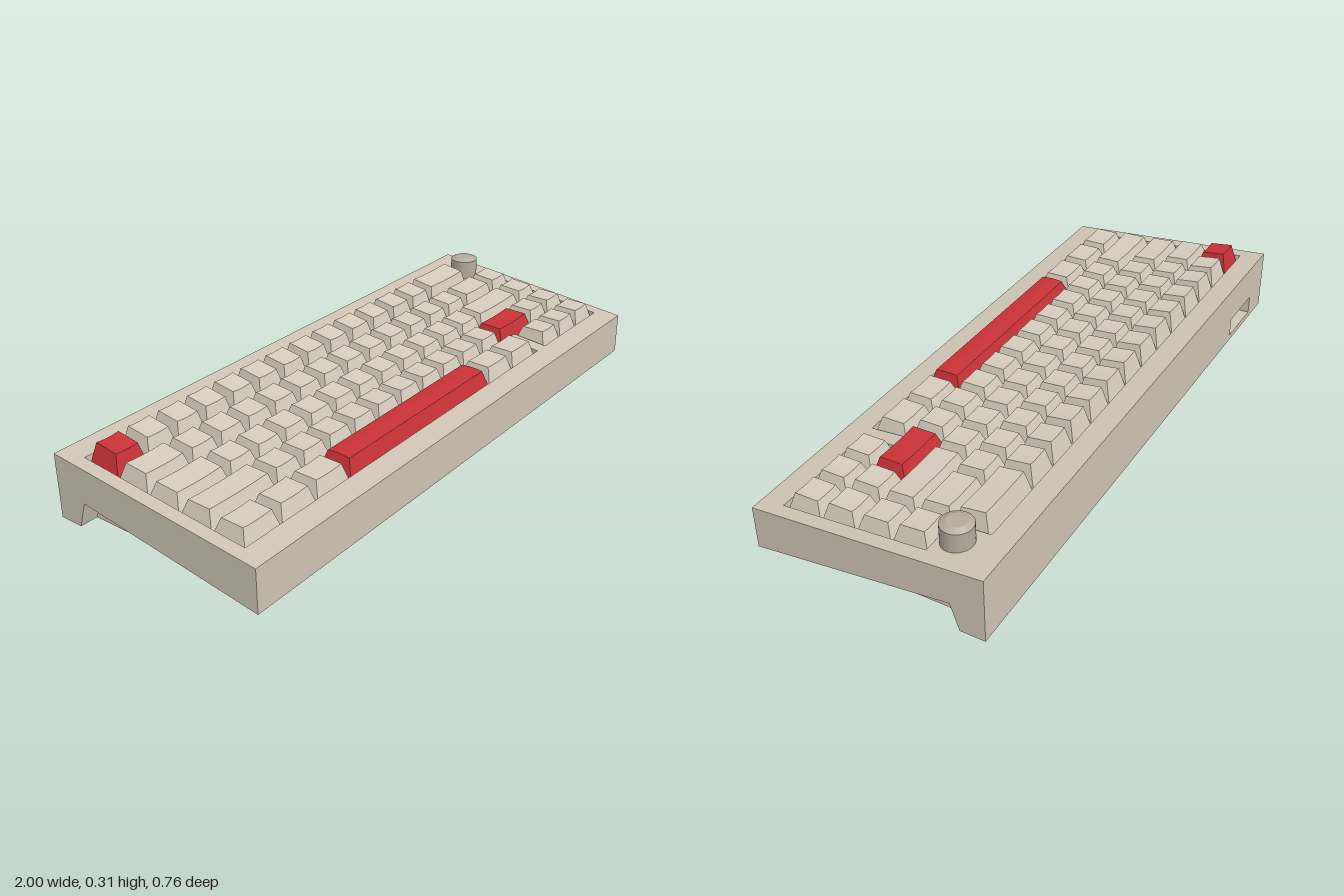
import * as THREE from 'three';

const U = 0.1186;          // width of one key unit
const X0 = -0.949;         // left end of the key rows
const RIM = 0.06;          // thickness of the top frame
const HALF = 0.38;         // half depth of the case
const END = 0.06;          // thickness of the case ends

// height of the sloping top at depth z
const topY = z => 0.218 - 0.092 * z;

export function createModel() {
  const mat = (name, color) => {
    const m = new THREE.MeshStandardMaterial({ color });
    m.name = name;
    return m;
  };
  const caseMat = mat('case beige', 0xcfc4b5);
  const keyMat = mat('key beige', 0xd6cbbd);
  const redMat = mat('accent red', 0xc83236);
  const metalMat = mat('knob and foot grey', 0xb5aa9d);
  const plateMat = mat('underside plate', 0xa89f93);

  const model = new THREE.Group();
  model.name = 'keyboard';
  const add = (geo, material, name, parent = model) => {
    const mesh = new THREE.Mesh(geo, material);
    mesh.name = name;
    parent.add(mesh);
    return mesh;
  };
  const path = (pts, Type = THREE.Shape) => new Type(pts.map(p => new THREE.Vector2(...p)));
  const extrude = (shape, depth) => new THREE.ExtrudeGeometry(shape, { depth, bevelEnabled: false });

  // Top frame: flat plate with the key opening, sheared to the slope
  const frame = path([[-1, -HALF], [1, -HALF], [1, HALF], [-1, HALF]]);
  const notchL = X0 + 12.5 * U + 0.004, notchR = X0 + 13 * U - 0.004;
  frame.holes.push(path([
    [-0.955, -0.303], [-0.955, 0.303], [0.832, 0.303], [0.832, 0.177], [0.955, 0.177],
    [0.955, -0.303], [notchR, -0.303], [notchR, -0.178], [notchL, -0.178], [notchL, -0.303],
  ], THREE.Path));
  const frameGeo = extrude(frame, RIM).rotateX(-Math.PI / 2);
  const fp = frameGeo.attributes.position;
  for (let i = 0; i < fp.count; i++) fp.setY(i, fp.getY(i) + topY(fp.getZ(i)) - RIM);
  frameGeo.computeVertexNormals();
  add(frameGeo, caseMat, 'topFrame');

  // Lower case: side profiles given as [z, y], extruded along x
  const slab = (pts, x, width, name) => {
    const geo = extrude(path(pts.map(([z, y]) => [-z, y])), width);
    geo.rotateY(Math.PI / 2).translate(x, 0, 0);
    add(geo, caseMat, name);
  };
  const low = z => [z, topY(z) - RIM];
  const wallZ = -0.33;
  slab([[HALF, 0.04], low(HALF), low(wallZ), [wallZ, 0.04]], -1 + END, 2 - 2 * END, 'lowerCase');
  const endProfile = [[HALF, 0.04], low(HALF), low(-HALF), [-HALF, 0.04], [-0.3, 0.04], [-0.272, 0.126]];
  slab(endProfile, -1, END, 'rightEnd');
  slab(endProfile, 1 - END, END, 'leftEnd');

  // Back wall with the cable port
  const e = 1 - END, wallTop = topY(-HALF) - RIM;
  const wall = path([[-e, 0.04], [e, 0.04], [e, wallTop], [-e, wallTop]]);
  wall.holes.push(path([[-0.885, 0.06], [-0.885, 0.125], [-0.7, 0.125], [-0.7, 0.06]], THREE.Path));
  add(extrude(wall, 0.05).translate(0, 0, -HALF), caseMat, 'backWall');

  // Underside plate
  add(new THREE.BoxGeometry(0.48, 0.006, 0.07).translate(0, 0.0395, -0.226), plateMat, 'undersidePlate');

  // Keycap: tapered box with a dished (or, for the long bar, arched) top
  const keycap = (width, z, front, back, bar) => {
    const geo = new THREE.BoxGeometry(1, 1, 1, 6, 1, 6);
    const p = geo.attributes.position;
    for (let i = 0; i < p.count; i++) {
      const sx = p.getX(i) * 2, sz = p.getZ(i) * 2, top = p.getY(i) > 0;
      const hx = width / 2 - (top ? 0.0185 : 0.002);
      const hz = top ? 0.039 : 0.057;
      let y = topY(z + sz * hz) - 0.022;
      if (top) {
        y = THREE.MathUtils.lerp(back, front, (sz + 1) / 2);
        y += bar ? 0.003 * (1 - sz * sz) : -0.003 * (1 - sx * sx);
      }
      p.setXYZ(i, sx * hx, y, sz * hz);
    }
    geo.computeVertexNormals();
    return geo;
  };

  // Key rows, back to front; negative widths are gaps
  const ones = n => Array(n).fill(1);
  const rows = [
    { z: -0.235, front: 0.283, back: 0.294, keys: [...ones(13), 2], red: [0] },
    { z: -0.118, front: 0.262, back: 0.269, keys: [1.5, ...ones(12), 1.5, 1], red: [] },
    { z: 0, front: 0.246, back: 0.252, keys: [1.75, ...ones(11), 2.25, 1], red: [] },
    { z: 0.119, front: 0.239, back: 0.24, keys: [2.25, ...ones(10), 1.75, 1, 1], red: [11] },
    { z: 0.238, front: 0.228, back: 0.229, keys: [1.25, 1.25, 1.25, 6.25, 1.25, 1.25, -0.5, 1, 1, 1], red: [3] },
  ];
  rows.forEach((row, r) => {
    const group = new THREE.Group();
    group.name = `keyRow${r + 1}`;
    model.add(group);
    let x = X0;
    row.keys.forEach((units, k) => {
      const width = Math.abs(units) * U;
      if (units > 0) {
        const geo = keycap(width, row.z, row.front, row.back, units > 5);
        const name = units > 5 ? 'spaceBar' : 'keycap';
        add(geo, row.red.includes(k) ? redMat : keyMat, name, group).position.set(x + width / 2, 0, row.z);
      }
      x += width;
    });
  });

  // Rotary knob with a chamfered top
  const knob = new THREE.Group();
  knob.name = 'knob';
  knob.position.set(0.89, 0, -0.234);
  model.add(knob);
  add(new THREE.CylinderGeometry(0.049, 0.049, 0.083, 40).translate(0, 0.2615, 0), metalMat, 'knobBody', knob);
  add(new THREE.CylinderGeometry(0.03, 0.048, 0.009, 40).translate(0, 0.3075, 0), metalMat, 'knobTop', knob);

  // Domed feet: [x, rim height, z]
  const feet = [[-0.88, 0.021, 0.305], [0.88, 0.054, 0.305], [-0.88, 0.038, -0.303], [0.88, 0.038, -0.303]];
  for (const [x, y, z] of feet) {
    const foot = new THREE.Group();
    foot.name = 'foot';
    foot.position.set(x, y, z);
    model.add(foot);
    const dome = new THREE.SphereGeometry(0.045, 28, 8, 0, Math.PI * 2, Math.PI / 2, Math.PI / 2);
    add(dome.scale(1, 0.46, 1), metalMat, 'footDome', foot);
    add(new THREE.CircleGeometry(0.045, 28).rotateX(-Math.PI / 2), metalMat, 'footTop', foot);
  }
  return model;
}
